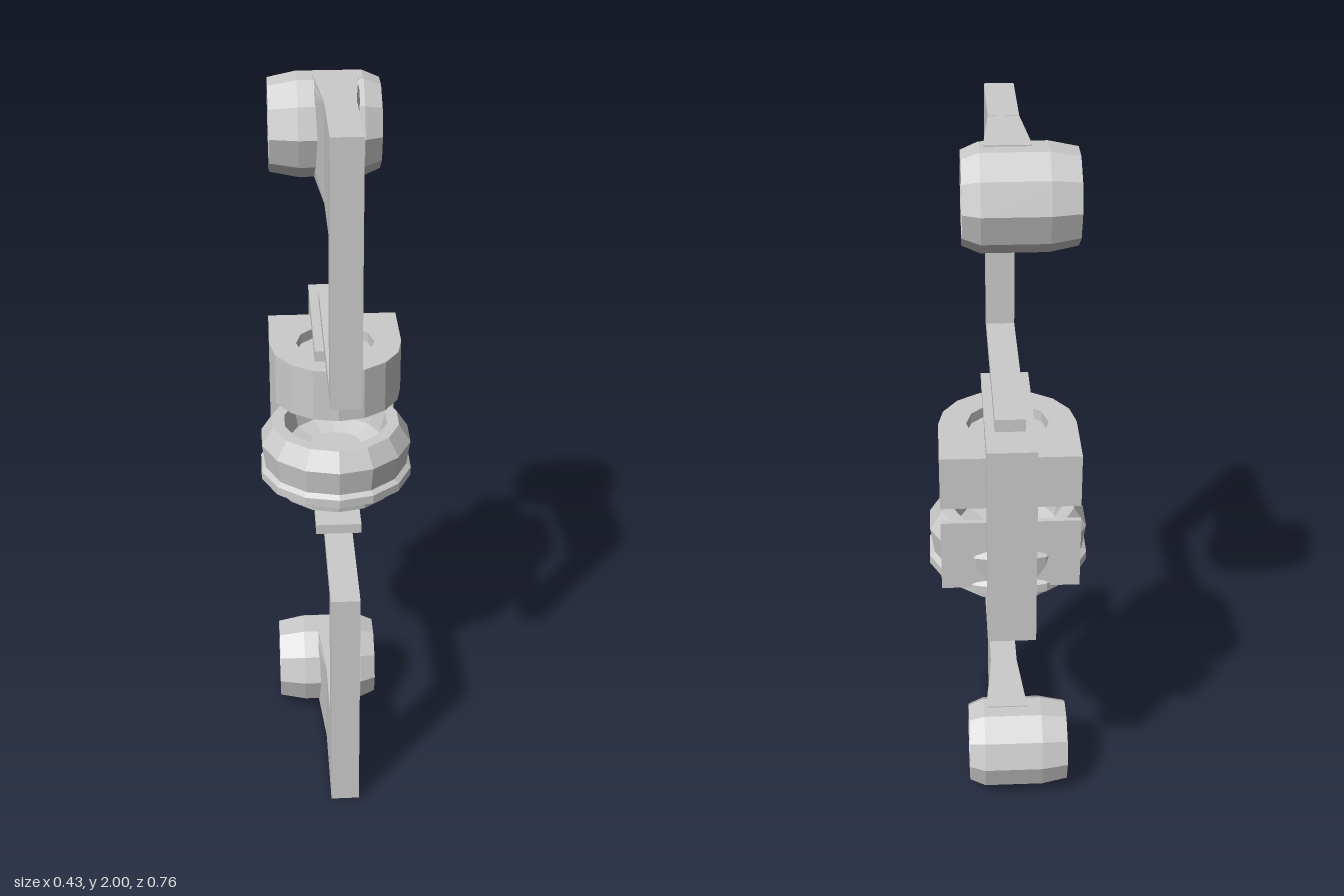
import * as THREE from 'three';

const mat = new THREE.MeshStandardMaterial({ color: 0xcccccc, flatShading: true });
const AXIS_Z = -0.115; // shared z of all rotation axes

function add(parent, name, geometry) {
  const mesh = new THREE.Mesh(geometry, mat);
  mesh.name = name;
  parent.add(mesh);
  return mesh;
}

function box(parent, name, x0, x1, y0, y1, z0, z1) {
  const g = new THREE.BoxGeometry(x1 - x0, y1 - y0, z1 - z0);
  g.translate((x0 + x1) / 2, (y0 + y1) / 2, (z0 + z1) / 2);
  return add(parent, name, g);
}

// Extrudes a side outline given as (z, y) across x, centred on x = 0
function sideExtrude(shape, width, curveSegments = 4) {
  const g = new THREE.ExtrudeGeometry(shape, { depth: width, bevelEnabled: false, curveSegments });
  g.translate(0, 0, -width / 2);
  return g.rotateY(-Math.PI / 2);
}

const outline = pts => new THREE.Shape(pts.map(p => new THREE.Vector2(...p)));
const lathe = (pts, sides) => new THREE.LatheGeometry(pts.map(p => new THREE.Vector2(...p)), sides);

// Cup-shaped motor shell: open towards -x, perforated disc towards +x
function motorCup(y) {
  const cup = new THREE.Group();
  cup.name = 'motorCup';
  const shell = lathe([
    [0.1, 0.085], [0.105, 0.05], [0.1, -0.13], [0.097, -0.175], [0.12, -0.175],
    [0.135, -0.1], [0.135, 0.07], [0.116, 0.115], [0.1, 0.115], [0.1, 0.085],
  ], 10);
  add(cup, 'cupShell', shell.rotateZ(-Math.PI / 2));

  const disc = new THREE.Shape().absarc(0, 0, 0.104, 0, Math.PI * 2);
  const punch = (x, y, r) => disc.holes.push(new THREE.Path().absarc(x, y, r, 0, Math.PI * 2, true));
  punch(0, 0, 0.024);
  for (let i = 0; i < 8; i++) {
    const a = (i + 0.5) * Math.PI / 4;
    punch(Math.cos(a) * 0.068, Math.sin(a) * 0.068, 0.011);
  }
  add(cup, 'cupFace', sideExtrude(disc, 0.02, 5)).position.x = 0.1;
  cup.position.set(0, y, AXIS_Z);
  return cup;
}

// Arm, mirrored about y = 1 for the lower one (s = -1)
function arm(s) {
  const g = new THREE.Group();
  g.name = s > 0 ? 'upperArm' : 'lowerArm';
  const Y = h => 1 + s * h;

  // Slim bar, upright and end plate in one outline
  add(g, 'armFrame', sideExtrude(outline([
    [0.385, Y(0.295)], [0.385, Y(1)], [0.11, Y(1)], [0.11, Y(0.735)], [0.315, Y(0.735)],
    [0.31, Y(0.325)], [-0.27, Y(0.33)], [-0.27, Y(0.295)],
  ]), 0.08));

  // Neck hugging the cup, flaring towards it
  const cy = Y(0.867), pts = [[0.11, cy + 0.132], [AXIS_Z, cy + 0.132]];
  for (let i = 0; i <= 8; i++) {
    const a = Math.PI / 2 - i * Math.PI / 8;
    pts.push([AXIS_Z + Math.cos(a) * 0.115, cy + Math.sin(a) * 0.115]);
  }
  pts.push([AXIS_Z, cy - 0.132], [0.11, cy - 0.132]);
  const neck = sideExtrude(outline(pts), 0.08);
  const p = neck.attributes.position;
  for (let i = 0; i < p.count; i++) {
    const t = Math.min(1, (0.11 - p.getZ(i)) / 0.15);
    p.setX(i, p.getX(i) * (1 + 0.5 * t));
  }
  neck.computeVertexNormals();
  add(g, 'cupNeck', neck);

  g.add(motorCup(cy));
  return g;
}

export function createModel() {
  const model = new THREE.Group();
  model.name = 'jointedArm';
  model.add(arm(1), arm(-1));

  // C-shaped bracket holding the central joint
  add(model, 'bracket', sideExtrude(outline([
    [0.06, 1.295], [-0.378, 1.295], [-0.378, 0.71], [0.06, 0.71], [0.06, 0.74], [-0.1, 0.74],
    [-0.335, 0.752], [-0.335, 1.25], [-0.1, 1.265], [0.06, 1.265],
  ]), 0.13));

  // Upper housing: flat back, rounded front, shallow recess on top
  const R = 0.185;
  const housing = y0 => {
    const s = new THREE.Shape();
    s.moveTo(R, -R);
    s.lineTo(R, 0);
    for (let i = 1; i <= 8; i++) s.lineTo(R * Math.cos(i * Math.PI / 8), R * Math.sin(i * Math.PI / 8));
    s.lineTo(-R, -R);
    s.closePath();
    return s;
  };
  const layer = (name, shape, y0, y1) => {
    // Shape (x, y) becomes (x, z), with depth running downwards
    const g = new THREE.ExtrudeGeometry(shape, { depth: y1 - y0, bevelEnabled: false, curveSegments: 6 });
    add(model, name, g.rotateX(Math.PI / 2).translate(0, y1, AXIS_Z));
  };
  const rim = housing();
  rim.holes.push(new THREE.Path().absarc(0, 0, 0.11, 0, Math.PI * 2, true));
  layer('upperHousingRim', rim, 1.205, 1.235);
  layer('upperHousing', housing(), 1.085, 1.205);

  // Lower bowl with stepped foot and sunken floor
  const bowl = lathe([
    [0, 0.78], [0.172, 0.78], [0.176, 0.822], [0.222, 0.825], [0.222, 0.85], [0.208, 0.86],
    [0.219, 0.935], [0.185, 0.988], [0.15, 0.988], [0.135, 0.92], [0.08, 0.9], [0, 0.9],
  ], 14);
  add(model, 'lowerBowl', bowl).position.z = AXIS_Z;

  // Back plate and spacer joining the joint to the bracket
  box(model, 'backPlate', -0.185, 0.185, 0.84, 1.045, -0.308, -0.293);
  box(model, 'bracketSpacer', -0.04, 0.04, 0.94, 1.1, -0.337, -0.3);

  return model;
}
